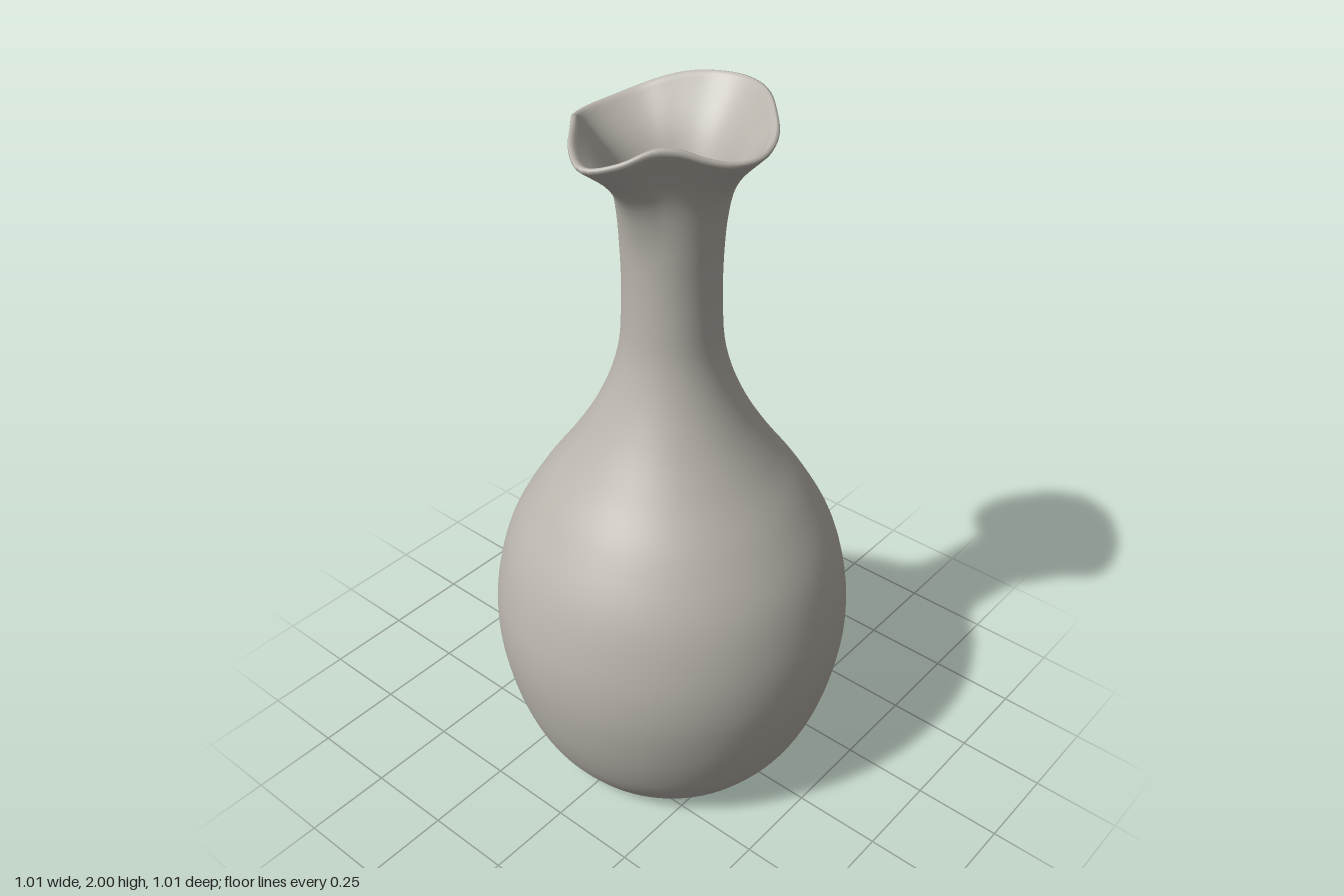
import * as THREE from 'three';
import { mergeVertices } from 'three/addons/utils/BufferGeometryUtils.js';

// rim radius and height every 15 degrees, from the spout (+z) round to the back
const rimRadius = [0.315, 0.286, 0.249, 0.236, 0.24, 0.255, 0.261, 0.259, 0.255, 0.25, 0.256, 0.268, 0.275];
const rimHeight = [1.945, 1.962, 1.99, 1.986, 1.962, 1.945, 1.94, 1.945, 1.96, 1.98, 1.993, 1.997, 1.998];
const RIM_R = 0.26, RIM_Y = 1.96, LIP_Y = 1.66;

// smooth lookup in a table mirrored at both ends
function sample(table, angle) {
  const f = Math.abs(angle) / (Math.PI / 12), i = Math.min(Math.floor(f), 11), t = f - i;
  const at = (n) => table[n < 0 ? -n : n > 12 ? 24 - n : n];
  const [a, b, c, d] = [at(i - 1), at(i), at(i + 1), at(i + 2)];
  return b + 0.5 * t * (c - a + t * (2 * a - 5 * b + 4 * c - d + t * (3 * (b - c) + d - a)));
}

// smooth profile through [radius, height] pairs
function profile(pairs, count) {
  const curve = new THREE.CatmullRomCurve3(pairs.map(([r, y]) => new THREE.Vector3(r, y, 0)));
  return curve.getSpacedPoints(count).map((p) => new THREE.Vector2(Math.max(p.x, 0), p.y));
}

export function createModel() {
  const group = new THREE.Group();
  group.name = 'pouringVase';
  const clay = new THREE.MeshStandardMaterial({ color: 0xbab5ad });
  clay.name = 'warm grey clay';

  // underside, outer wall, rolled rim, then the hollow inside down to its floor
  const foot = [[0, 0.012], [0.15, 0.01], [0.27, 0.006], [0.3, 0]];
  const outer = [
    [0.3, 0], [0.335, 0.012], [0.365, 0.045], [0.42, 0.13], [0.466, 0.25], [0.495, 0.38], [0.505, 0.48],
    [0.498, 0.6], [0.457, 0.76], [0.375, 0.91], [0.283, 1.04], [0.215, 1.15], [0.165, 1.26],
    [0.138, 1.36], [0.13, 1.46], [0.129, 1.6], [0.138, 1.72], [0.158, 1.81], [0.192, 1.87],
    [0.235, 1.92], [0.257, 1.945],
  ];
  const rim = [[0.26, 1.952], [0.258, 1.959], [0.251, 1.961], [0.243, 1.956]];
  const inner = [
    [0.237, 1.948], [0.205, 1.912], [0.165, 1.86], [0.133, 1.79], [0.113, 1.7], [0.106, 1.6], [0.107, 1.46],
    [0.116, 1.36], [0.143, 1.26], [0.193, 1.15], [0.26, 1.04], [0.35, 0.91], [0.432, 0.76],
    [0.473, 0.6], [0.48, 0.48], [0.44, 0.25], [0.395, 0.13], [0.33, 0.05], [0.2, 0.04], [0, 0.04],
  ];
  const points = [
    ...foot.slice(0, -1).map(([r, y]) => new THREE.Vector2(r, y)),
    ...profile(outer, 70),
    ...rim.map(([r, y]) => new THREE.Vector2(r, y)),
    ...profile(inner, 70),
  ];
  let geometry = new THREE.LatheGeometry(points, 96);

  // pull the flared mouth into a wavy lip with a spout
  const pos = geometry.attributes.position;
  for (let i = 0; i < pos.count; i++) {
    const x = pos.getX(i), y = pos.getY(i), z = pos.getZ(i);
    if (y <= LIP_Y) continue;
    const w = Math.min((y - LIP_Y) / (RIM_Y - LIP_Y), 1), angle = Math.atan2(x, z);
    const k = 1 + w * (sample(rimRadius, angle) / RIM_R - 1);
    pos.setXYZ(i, x * k, y + w * w * (sample(rimHeight, angle) - RIM_Y), z * k);
  }

  // weld the seam so the shading is continuous
  geometry.deleteAttribute('uv');
  geometry.deleteAttribute('normal');
  geometry = mergeVertices(geometry, 1e-5);
  geometry.computeVertexNormals();

  const body = new THREE.Mesh(geometry, clay);
  body.name = 'vaseBody';
  group.add(body);
  return group;
}
